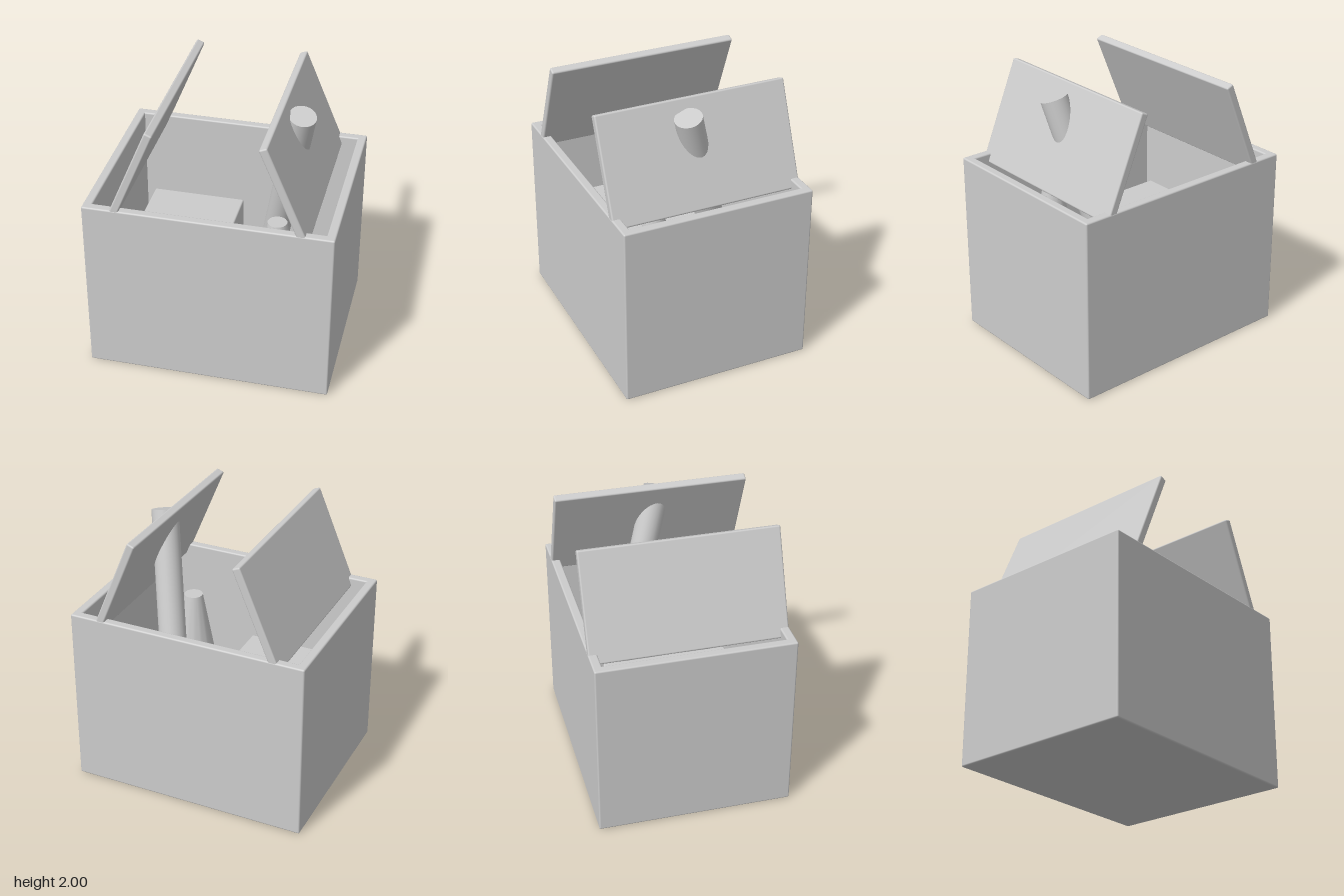
import * as THREE from 'three';
import { RoundedBoxGeometry } from 'three/addons/geometries/RoundedBoxGeometry.js';

export function createModel() {
  const model = new THREE.Group();
  model.name = 'openCrate';
  const grey = new THREE.MeshStandardMaterial({ color: 0xcccccc });
  grey.name = 'light grey';

  const W = 1.77, H = 1.35, D = 1.41; // crate size
  const T = 0.065; // board thickness

  const add = (name, geometry, x, y, z) => {
    const mesh = new THREE.Mesh(geometry, grey);
    mesh.name = name;
    mesh.position.set(x, y, z);
    model.add(mesh);
    return mesh;
  };
  const board = (w, h, d) => new RoundedBoxGeometry(w, h, d, 2, 0.012);

  // Crate floor and walls
  add('floor', board(W, T, D), 0, T / 2, 0);
  for (const s of [-1, 1]) {
    add(s < 0 ? 'rightWall' : 'leftWall', board(T, H, D), s * (W - T) / 2, H / 2, 0);
    add(s < 0 ? 'backWall' : 'frontWall', board(W, H, T), 0, H / 2, s * (D - T) / 2);
  }

  // Two flaps leaning inwards above the side walls
  const flapLength = 0.775, lean = 0.396;
  for (const s of [-1, 1]) {
    const flap = add(s < 0 ? 'rightFlap' : 'leftFlap',
      board(0.06, flapLength, D - 0.004), s * 0.5325, 1.631, 0);
    flap.rotation.z = s * lean;
  }

  // Box standing inside
  add('innerBox', board(0.7, 0.73, 0.92), -0.35, T + 0.365, -0.005);

  // Tapered cone standing inside
  const coneHeight = 1.08;
  add('cone', new THREE.CylinderGeometry(0.07, 0.272, coneHeight, 16),
    0.41, T + coneHeight / 2, 0.275);

  // Long rod leaning out through the left flap
  const foot = new THREE.Vector3(0.18, 0.08, -0.44);
  const tip = new THREE.Vector3(0.53, 1.905, 0.078);
  const axis = tip.clone().sub(foot);
  const rod = add('leaningRod', new THREE.CylinderGeometry(0.098, 0.102, axis.length(), 24), 0, 0, 0);
  rod.position.copy(foot).add(tip).multiplyScalar(0.5);
  rod.quaternion.setFromUnitVectors(new THREE.Vector3(0, 1, 0), axis.normalize());

  return model;
}
